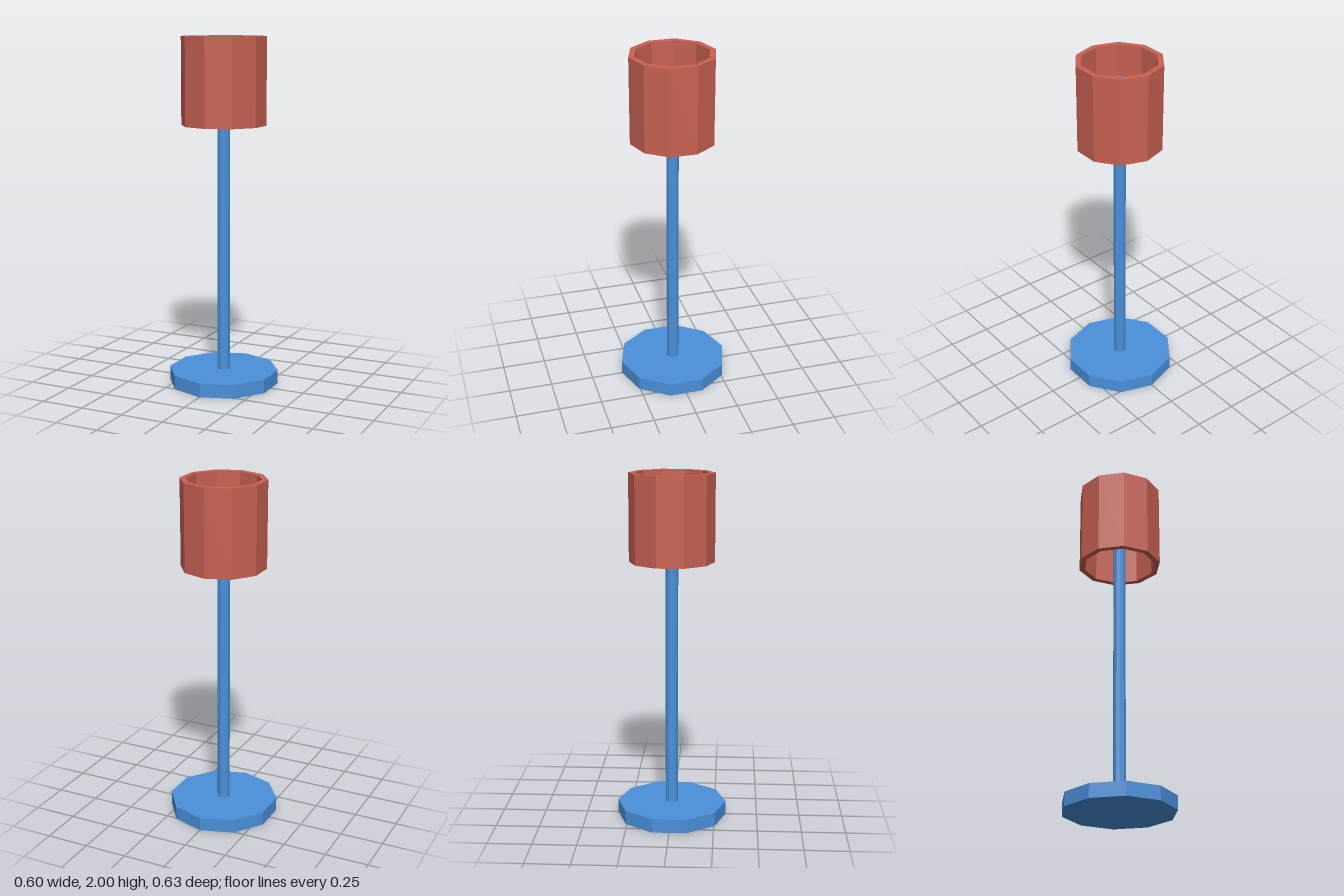
import * as THREE from 'three';

const SIDES = 10;

export function createModel() {
  const lamp = new THREE.Group();
  lamp.name = 'floorLamp';

  const blue = new THREE.MeshStandardMaterial({ color: 0x4a90d9, flatShading: true });
  const red = new THREE.MeshStandardMaterial({ color: 0xc86152, flatShading: true });

  function add(name, geometry, material) {
    const mesh = new THREE.Mesh(geometry, material);
    mesh.name = name;
    lamp.add(mesh);
  }

  // Solid ten-sided prism between two heights
  function prism(radius, bottom, top) {
    return new THREE.CylinderGeometry(radius, radius, top - bottom, SIDES)
      .translate(0, (bottom + top) / 2, 0);
  }

  // Foot and pole; the pole ends inside the shade
  add('base', prism(0.317, 0, 0.08), blue);
  add('pole', prism(0.036, 0.08, 1.895), blue);

  // Thick-walled shade, open at both ends
  const outer = 0.242, inner = 0.209, low = 1.503, high = 2;
  const wall = [[outer, low], [outer, high], [inner, high], [inner, low], [outer, low]]
    .map(([r, y]) => new THREE.Vector2(r, y));
  add('shade', new THREE.LatheGeometry(wall, SIDES), red);

  return lamp;
}
